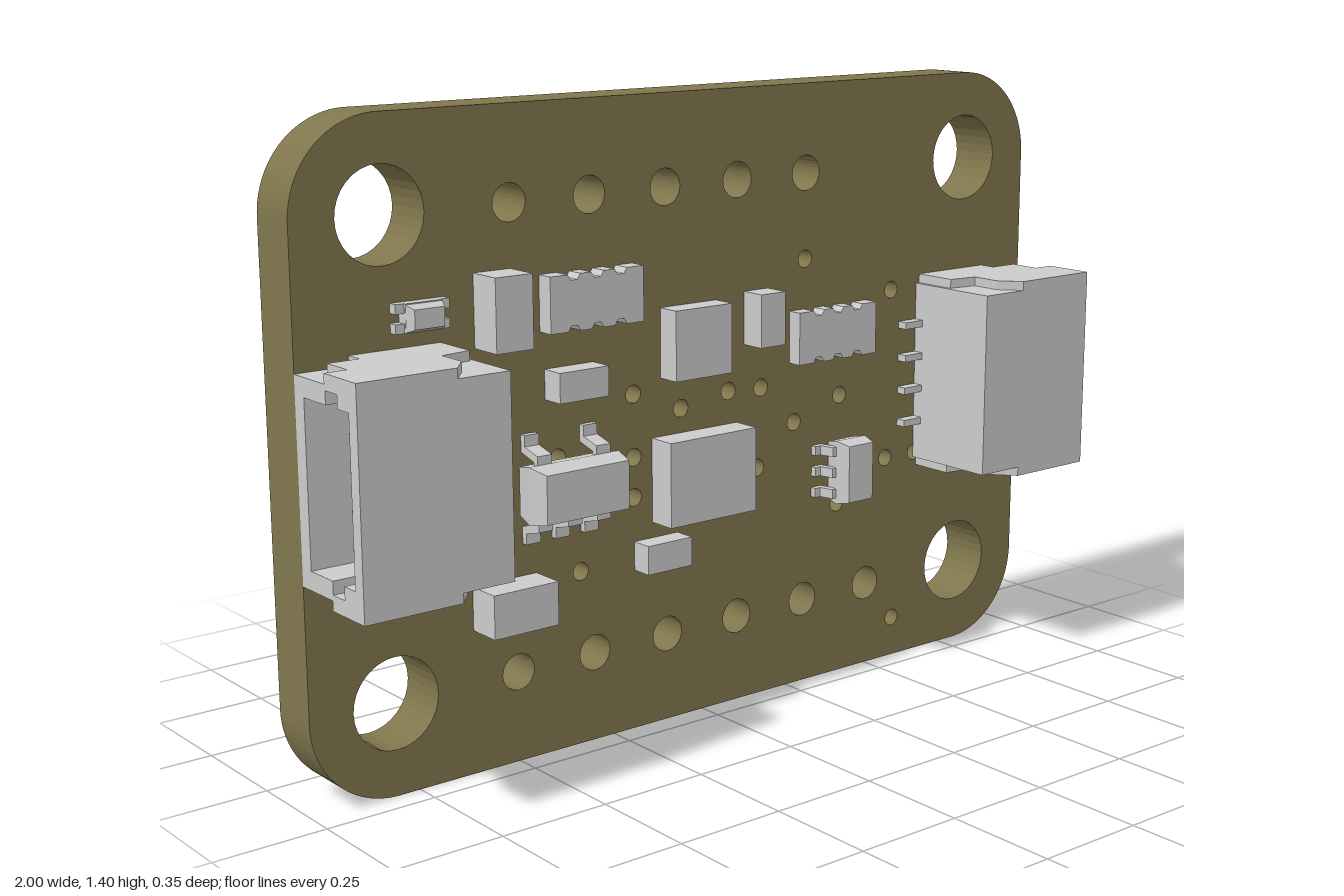
import * as THREE from 'three';

const BACK = -0.175, FACE = -0.055; // board back and front surfaces
const grey = new THREE.MeshStandardMaterial({ color: 0xcccccc, flatShading: true });
const olive = new THREE.MeshStandardMaterial({ color: 0x80764d });

function add(parent, name, geometry, material = grey) {
  const mesh = new THREE.Mesh(geometry, material);
  mesh.name = name;
  parent.add(mesh);
  return mesh;
}

// Box given by its limits on each axis
function box(parent, name, x0, x1, y0, y1, z0, z1) {
  const g = new THREE.BoxGeometry(x1 - x0, y1 - y0, z1 - z0);
  g.translate((x0 + x1) / 2, (y0 + y1) / 2, (z0 + z1) / 2);
  return add(parent, name, g);
}

const polygon = (pts) => new THREE.Shape(pts.map(([a, b]) => new THREE.Vector2(a, b)));
const extrude = (shape, depth, curveSegments = 12) =>
  new THREE.ExtrudeGeometry(shape, { depth, bevelEnabled: false, curveSegments });

const X = new THREE.Vector3(1, 0, 0), Y = new THREE.Vector3(0, 1, 0), Z = new THREE.Vector3(0, 0, 1);
const alongX = new THREE.Matrix4().makeBasis(Y, Z, X); // shape drawn in (y, z)
const alongY = new THREE.Matrix4().makeBasis(X, Z, Y.clone().negate()); // shape drawn in (x, z)

function buildBoard(parent) {
  const r = 0.2, w = 1, h = 1.4;
  const s = new THREE.Shape();
  s.absarc(w - r, r, r, -Math.PI / 2, 0);
  s.absarc(w - r, h - r, r, 0, Math.PI / 2);
  s.absarc(r - w, h - r, r, Math.PI / 2, Math.PI);
  s.absarc(r - w, r, r, Math.PI, Math.PI * 1.5);
  const hole = (x, y, radius) => s.holes.push(new THREE.Path().absarc(x, y, radius, 0, Math.PI * 2, true));
  // Mounting holes and header rows
  for (const x of [-0.8, 0.8]) for (const y of [0.2, 1.2]) hole(x, y, 0.1);
  for (let i = 0; i < 6; i++) {
    hole(-0.5 + i * 0.2, 0.2, 0.04);
    if (i < 5) hole(-0.5 + i * 0.2, 1.2, 0.04);
  }
  // Vias
  const vias = [
    [-0.65, 0.9], [0.3, 1.005], [0.57, 0.905], [-0.19, 0.76], [-0.06, 0.71], [0.075, 0.73],
    [0.17, 0.725], [0.41, 0.675], [0.27, 0.63], [-0.19, 0.62], [-0.19, 0.53], [0.16, 0.54],
    [0.56, 0.5], [0.655, 0.5], [-0.61, 0.505], [-0.735, 0.425], [-0.335, 0.39], [0.405, 0.415],
    [0.59, 0.095], [-0.39, 0.65], [0.9, 0.61], [0.715, 0.655], [-0.72, 0.72], [-0.805, 0.79], [-0.715, 0.62],
  ];
  for (const [x, y] of vias) hole(x, y, 0.02);
  add(parent, 'circuitBoard', extrude(s, FACE - BACK, 16).translate(0, 0, BACK), olive);
}

// Side-entry socket, opening toward -x, centred on y = 0
function buildConnector(name) {
  const g = new THREE.Group();
  g.name = name;
  const top = 0.178, half = 0.212, inner = -0.66, wall = -0.74;
  const rim = polygon([[-half, FACE], [half, FACE], [half, top], [-half, top]]);
  rim.holes.push(new THREE.Path([
    [-0.172, -0.02], [0.172, -0.02], [0.172, 0.063], [0.2, 0.063], [0.2, 0.107], [0.172, 0.107],
    [0.172, 0.148], [-0.172, 0.148], [-0.172, 0.107], [-0.2, 0.107], [-0.2, 0.063], [-0.172, 0.063],
  ].map(([a, b]) => new THREE.Vector2(a, b))));
  add(g, 'connectorShell', extrude(rim, wall + 1).applyMatrix4(alongX).translate(-1, 0, 0));
  box(g, 'connectorBackWall', wall, inner, -half, half, FACE, top);
  // Stepped side plates
  const plate = polygon([
    [-0.88, FACE], [-0.67, FACE], [-0.67, 0.05], [-0.74, 0.06], [-0.74, 0.13], [-0.78, top],
    [-1, top], [-1, 0.06], [-0.95, 0.06], [-0.95, -0.015], [-0.88, -0.015],
  ]);
  for (const y of [-half, 0.233])
    add(g, 'connectorSidePlate', extrude(plate, 0.021).applyMatrix4(alongY).translate(0, y, 0));
  // Contacts inside the socket and tails on the board
  for (let i = 0; i < 4; i++) {
    const y = (i - 1.5) * 0.0787;
    box(g, 'contactPin', -0.96, wall, y - 0.008, y + 0.008, 0.077, 0.11);
    box(g, 'contactTail', inner, -0.605, y - 0.008, y + 0.008, FACE, -0.03);
  }
  g.position.y = 0.7;
  return g;
}

// Moulded chip body, narrower at its front and back than at mid height
function chipBody(parent, name, x0, x1, y0, y1, z0, z1, inset) {
  const g = new THREE.BoxGeometry(x1 - x0, y1 - y0, z1 - z0, 1, 1, 2);
  const p = g.attributes.position;
  for (let i = 0; i < p.count; i++) {
    if (Math.abs(p.getZ(i)) < 1e-6) continue;
    p.setX(i, p.getX(i) - Math.sign(p.getX(i)) * inset);
    p.setY(i, p.getY(i) - Math.sign(p.getY(i)) * inset);
  }
  add(parent, name, g.translate((x0 + x1) / 2, (y0 + y1) / 2, (z0 + z1) / 2));
}

// Gull-wing lead starting at (x, y) and heading along the given angle
function lead(parent, x, y, angle, length, z, width) {
  const t = 0.014, a = length * 0.4, b = length * 0.6;
  const profile = polygon([
    [-0.02, z - t], [a - t, z - t], [b - t, FACE], [length, FACE],
    [length, FACE + t], [b, FACE + t], [a, z], [-0.02, z],
  ]);
  const m = add(parent, 'chipLead', extrude(profile, width).applyMatrix4(alongY).translate(0, width / 2, 0));
  m.position.set(x, y, 0);
  m.rotation.z = angle;
}

// Resistor array with scalloped long edges
function resistorArray(parent, x0, x1, y0, y1, z1) {
  const pts = [], n = 4, step = (x1 - x0) / n, d = 0.012, w = 0.016;
  const edge = (y, dir) => {
    const start = dir > 0 ? x0 : x1;
    pts.push([start, y]);
    for (let i = 1; i < n; i++) {
      const c = start + dir * step * i;
      pts.push([c - dir * w, y], [c - dir * w / 2, y + dir * d], [c + dir * w / 2, y + dir * d], [c + dir * w, y]);
    }
    pts.push([start + dir * (x1 - x0), y]);
  };
  edge(y0, 1);
  edge(y1, -1);
  add(parent, 'resistorArray', extrude(polygon(pts), z1 - FACE).translate(0, 0, FACE));
}

export function createModel() {
  const model = new THREE.Group();
  model.name = 'sensorBoard';
  buildBoard(model);

  const right = buildConnector('rightConnector');
  const left = buildConnector('leftConnector');
  left.rotation.z = Math.PI;
  left.position.x = -0.008;
  model.add(right, left);

  // Rectangular parts: name, x range, y range, front z
  const blocks = [
    ['tallCapacitor', -0.59, -0.5, 0.91, 1.065, 0.025],
    ['lowerCapacitor', -0.61, -0.45, 0.315, 0.41, 0.025],
    ['smallResistor', -0.42, -0.295, 0.78, 0.845, 0.0],
    ['uprightCapacitor', 0.12, 0.19, 0.83, 0.95, 0.005],
    ['smallCapacitor', -0.19, -0.07, 0.365, 0.43, -0.005],
    ['upperSensor', -0.115, 0.04, 0.785, 0.94, 0.0],
    ['mainSensor', -0.14, 0.1, 0.465, 0.655, 0.012],
  ];
  for (const [name, x0, x1, y0, y1, z] of blocks) box(model, name, x0, x1, y0, y1, FACE, z);

  resistorArray(model, -0.43, -0.19, 0.925, 1.045, -0.015);
  resistorArray(model, 0.255, 0.49, 0.77, 0.89, -0.02);

  // Indicator light with four end pads
  box(model, 'lightBase', -0.765, -0.68, 0.965, 1.025, FACE, -0.03);
  chipBody(model, 'lightLens', -0.765, -0.68, 0.967, 1.023, -0.05, -0.008, 0.008);
  for (const x of [-0.785, -0.68]) for (const y of [0.965, 1.005])
    box(model, 'lightPad', x, x + 0.02, y, y + 0.02, FACE, -0.035);

  // Five-lead regulator
  chipBody(model, 'regulatorBody', -0.505, -0.275, 0.535, 0.66, -0.045, 0.055, 0.01);
  for (const x of [-0.465, -0.39, -0.315]) {
    lead(model, x, 0.54, -Math.PI / 2, 0.06, 0.005, 0.036);
    if (x !== -0.39) lead(model, x, 0.655, Math.PI / 2, 0.06, 0.005, 0.036);
  }

  // Six-lead chip
  chipBody(model, 'sixLeadBody', 0.36, 0.45, 0.43, 0.58, -0.045, 0.028, 0.008);
  for (const y of [0.455, 0.505, 0.555]) {
    lead(model, 0.365, y, Math.PI, 0.04, -0.008, 0.022);
    lead(model, 0.445, y, 0, 0.04, -0.008, 0.022);
  }
  return model;
}
